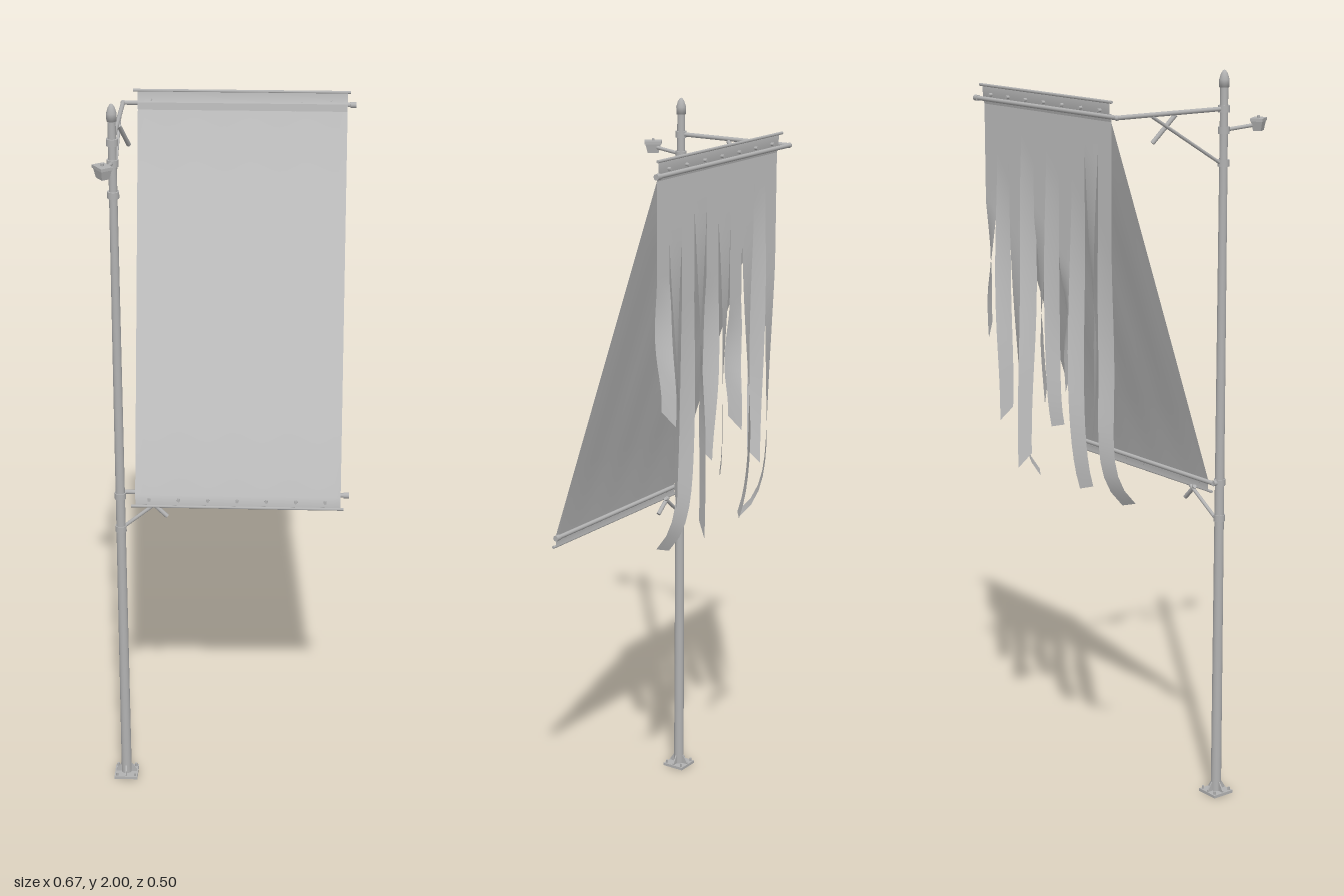
import * as THREE from 'three';

const metal = new THREE.MeshStandardMaterial({ color: 0xb2b2b2 });
metal.name = 'galvanised metal';
const cloth = new THREE.MeshStandardMaterial({ color: 0xc2c2c2, side: THREE.DoubleSide });
cloth.name = 'faded cloth';

const PX = -0.29, PZ = 0.123;          // pole axis
const LEFT = 0.31, RIGHT = -0.25;      // cloth edges
const V = (x, y, z) => new THREE.Vector3(x, y, z);

function add(parent, name, geometry, material = metal, pos = V(0, 0, 0)) {
  const m = new THREE.Mesh(geometry, material);
  m.name = name;
  m.position.copy(pos);
  parent.add(m);
  return m;
}

// Round bar between two points
function bar(parent, name, a, b, r, sides = 12) {
  const d = b.clone().sub(a);
  const m = add(parent, name, new THREE.CylinderGeometry(r, r, d.length(), sides), metal,
    a.clone().add(b).multiplyScalar(0.5));
  m.quaternion.setFromUnitVectors(V(0, 1, 0), d.normalize());
  return m;
}

function buildPole() {
  const g = new THREE.Group();
  g.name = 'pole';
  g.position.set(PX, 0, PZ);
  add(g, 'shaft', new THREE.CylinderGeometry(0.0105, 0.0145, 1.96, 20), metal, V(0, 0.98, 0));
  const tip = [[0, 1.955], [0.013, 1.955], [0.0135, 1.975], [0.009, 1.99], [0.004, 1.998], [0, 2]];
  add(g, 'finial', new THREE.LatheGeometry(tip.map(p => new THREE.Vector2(...p)), 20));
  for (const y of [1.9, 1.845, 1.76, 0.9, 0.8]) {
    add(g, 'collar', new THREE.CylinderGeometry(0.0155, 0.0155, 0.018, 20), metal, V(0, y, 0));
  }
  // Foot plate with gussets and bolts
  add(g, 'basePlate', new THREE.BoxGeometry(0.066, 0.008, 0.066), metal, V(0, 0.004, 0));
  const gusset = new THREE.Shape([[0.01, 0.008], [0.03, 0.008], [0.03, 0.012], [0.015, 0.034], [0.01, 0.034]]
    .map(p => new THREE.Vector2(...p)));
  for (let i = 0; i < 4; i++) {
    const geo = new THREE.ExtrudeGeometry(gusset, { depth: 0.004, bevelEnabled: false });
    geo.translate(0, 0, -0.002);
    add(g, 'gusset', geo).rotation.y = i * Math.PI / 2;
    const a = Math.PI / 4 + i * Math.PI / 2;
    add(g, 'anchorBolt', new THREE.CylinderGeometry(0.0035, 0.0035, 0.012, 6), metal,
      V(Math.cos(a) * 0.036, 0.011, Math.sin(a) * 0.036));
  }
  return g;
}

function buildArms() {
  const g = new THREE.Group();
  g.name = 'bannerArms';
  const AZ = -0.227, LZ = 0.1;
  bar(g, 'upperArm', V(PX, 1.9, PZ), V(PX, 1.9, AZ), 0.006);
  add(g, 'armElbow', new THREE.SphereGeometry(0.007, 12, 8), metal, V(PX, 1.9, AZ));
  bar(g, 'upperRod', V(PX, 1.9, AZ), V(0.325, 1.9, AZ), 0.006);
  bar(g, 'lowerRod', V(PX, 0.9, LZ), V(0.325, 0.9, LZ), 0.006);
  bar(g, 'lowerArm', V(PX, 0.9, PZ), V(PX, 0.9, LZ), 0.008);
  for (const [y, z] of [[1.9, AZ], [0.9, LZ]]) {
    bar(g, 'rodCap', V(0.318, y, z), V(0.333, y, z), 0.008);
  }
  // Braces, each with a loose stub
  bar(g, 'upperBrace', V(PX, 1.76, PZ - 0.01), V(PX, 1.896, -0.115), 0.0045);
  bar(g, 'upperStub', V(-0.286, 1.895, -0.035), V(-0.266, 1.825, -0.094), 0.006);
  bar(g, 'lowerBrace', V(PX, 0.795, 0.115), V(-0.19, 0.872, 0.105), 0.005);
  bar(g, 'lowerStub', V(-0.205, 0.872, 0.107), V(-0.163, 0.832, 0.11), 0.006);
  return g;
}

function buildLamp() {
  const g = new THREE.Group();
  g.name = 'floodlight';
  bar(g, 'lampArm', V(PX, 1.845, PZ), V(-0.304, 1.853, 0.212), 0.005);
  const head = new THREE.Group();
  head.name = 'lampHead';
  head.position.set(-0.306, 1.855, 0.228);
  head.rotation.y = -0.97;
  g.add(head);
  // Housing tapers towards the top
  const body = new THREE.BoxGeometry(0.044, 0.026, 0.03);
  const p = body.attributes.position;
  for (let i = 0; i < p.count; i++) {
    if (p.getY(i) < 0) { p.setX(i, p.getX(i) * 0.7); p.setZ(i, p.getZ(i) * 0.7); }
  }
  body.computeVertexNormals();
  add(head, 'housing', body, metal, V(0, -0.004, 0));
  add(head, 'rim', new THREE.BoxGeometry(0.048, 0.008, 0.034), metal, V(0, 0.012, 0));
  add(head, 'knob', new THREE.CylinderGeometry(0.004, 0.004, 0.008, 10), metal, V(0, 0.018, 0));
  return g;
}

// Slanted cloth with upright hems and faint vertical ripples
function buildFrontCloth(parent) {
  const rows = [1.935, 1.9, 1.7, 1.5, 1.3, 1.1, 0.9, 0.868];
  const geo = new THREE.PlaneGeometry(LEFT - RIGHT, 1, 28, rows.length - 1);
  const p = geo.attributes.position;
  for (let i = 0; i < p.count; i++) {
    const y = rows[Math.floor(i / 29)];
    const t = THREE.MathUtils.clamp((1.9 - y) / 1.0, 0, 1);
    const x = p.getX(i) + (LEFT + RIGHT) / 2;
    const ripple = 0.0012 * Math.sin(x * 42) * Math.sin(t * Math.PI);
    p.setXYZ(i, x, y, THREE.MathUtils.lerp(-0.218, 0.116, t) + ripple);
  }
  geo.computeVertexNormals();
  add(parent, 'frontCloth', geo, cloth);
}

// Torn back cloth: each strip hangs, twists and may curl at its tip
// [end height, split height, twist, sway, curl]
const STRIPS = [
  [1.27, 1.62, 0.9, -0.012, 0], [1.04, 1.72, -0.8, -0.006, 0], [0.87, 1.55, 0.6, 0.004, 0.075],
  [0.93, 1.78, -1.0, -0.01, 0], [1.12, 1.6, 0.8, 0.01, 0], [1.05, 1.74, -0.6, -0.008, 0.02],
  [1.18, 1.5, 1.0, 0.006, 0], [0.9, 1.68, -0.7, -0.014, 0.03], [1.06, 1.8, 0.8, 0.006, 0],
  [0.865, 1.58, -0.6, 0.0, 0.09],
];

function buildTornCloth(parent) {
  const g = new THREE.Group();
  g.name = 'tornBackCloth';
  const w = (LEFT - RIGHT) / STRIPS.length;
  STRIPS.forEach(([end, split, twist, sway, curl], k) => {
    const xc = LEFT - (k + 0.5) * w;
    const geo = new THREE.PlaneGeometry(1, 1, 2, 24);
    const p = geo.attributes.position;
    for (let i = 0; i < p.count; i++) {
      const u = p.getX(i), v = 0.5 - p.getY(i);
      const y = 1.905 - v * (1.905 - end);
      const t = Math.max(0, (split - y) / (split - end));
      const a = twist * Math.min(1, t * 1.5);
      const half = u * w * (1 - 0.35 * t);
      const skew = u * 0.04 * Math.sign(twist) * t * t * (curl ? 0.2 : 1);
      p.setXYZ(i, xc + half * Math.cos(a) + 0.006 * Math.sin(t * 5 + k) * t, y + skew,
        -0.213 + half * Math.sin(a) + sway * t + 0.006 * Math.sin(t * 6 + k * 2) * t
        + curl * Math.pow(t, 9));
    }
    geo.computeVertexNormals();
    add(g, 'tornStrip', geo, cloth);
  });
  parent.add(g);
}

function buildBanner() {
  const g = new THREE.Group();
  g.name = 'banner';
  buildFrontCloth(g);
  buildTornCloth(g);
  // Clamping rails and their studs
  for (const [y, z, studY] of [[1.936, -0.221, 1.912], [0.867, 0.12, 0.886]]) {
    bar(g, 'clampRail', V(-0.262, y, z), V(0.318, y, z), 0.004, 8);
    for (let i = 0; i < 7; i++) {
      const x = -0.212 + i * 0.08;
      bar(g, 'stud', V(x, studY, z - 0.006), V(x, studY, z + 0.003), 0.0045, 8);
    }
  }
  return g;
}

export function createModel() {
  const model = new THREE.Group();
  model.name = 'bannerPole';
  model.add(buildPole(), buildArms(), buildLamp(), buildBanner());
  return model;
}
